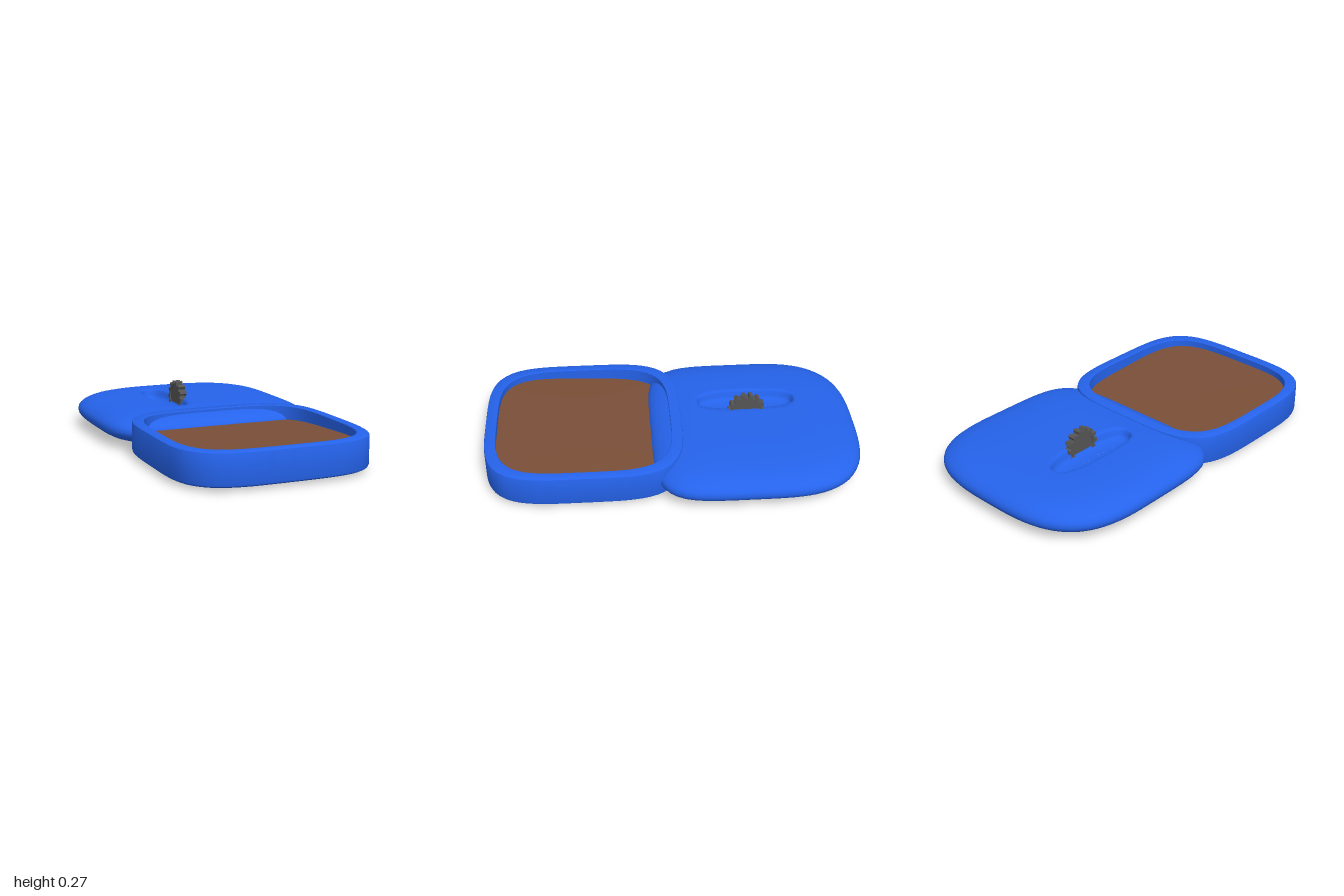
import * as THREE from 'three';
import { toCreasedNormals } from 'three/addons/utils/BufferGeometryUtils.js';

const SEG = 96;
const paint = color => new THREE.MeshStandardMaterial({ color });
const blue = paint(0x2563eb), brown = paint(0x7a4f38), dark = paint(0x555555);

// Rounded-square ring around (cx, cz): half sizes a, b, exponent n (front half may differ)
function ring(cx, cz, a, b, nBack, nFront = nBack) {
  return Array.from({ length: SEG }, (_, j) => {
    const t = (j / SEG) * Math.PI * 2, c = Math.cos(t), s = Math.sin(t);
    const n = s > 0 ? nFront : nBack;
    const k = (Math.abs(c) ** n + Math.abs(s) ** n) ** (-1 / n);
    return [cx + a * c * k, cz + b * s * k];
  });
}

// Skin over rings of [x, y, z] points
function loft(rings, crease = 0.6) {
  const index = [];
  for (let i = 0; i < rings.length - 1; i++) {
    for (let j = 0; j < SEG; j++) {
      const k = (j + 1) % SEG, a = i * SEG + j, b = i * SEG + k;
      index.push(a, a + SEG, b, b, a + SEG, b + SEG);
    }
  }
  const g = new THREE.BufferGeometry();
  g.setAttribute('position', new THREE.Float32BufferAttribute(rings.flat(2), 3));
  g.setIndex(index);
  return toCreasedNormals(g, crease);
}

function add(group, name, geometry, material) {
  const mesh = new THREE.Mesh(geometry, material);
  mesh.name = name;
  group.add(mesh);
  return mesh;
}

// Pillow-shaped body with a finger slot sunk into its top
function bodyGeometry() {
  const cz = -0.44, A = 0.587, B = 0.56;
  const rise = (x, z) => {
    const n = z > cz ? 5 : 3.1;
    const r = Math.min(1, (Math.abs(x / A) ** n + Math.abs((z - cz) / B) ** n) ** (1 / n));
    return 0.09 * Math.sqrt(Math.max(0, 1 - r ** 5));
  };
  const outline = r => ring(0, cz, A * r, B * r, 3.1, 5);
  const slot = k => ring(-0.145, -0.418, 0.09 - k, 0.273 - k, 2.7);
  const rings = [];
  const radii = [0, 0.3, 0.55, 0.7, 0.8, 0.87, 0.92, 0.955, 0.98, 0.993, 1];
  for (const r of radii) rings.push(outline(r).map(([x, z]) => [x, 0.1 - rise(x, z), z]));
  for (const r of radii.slice(4, -1).reverse()) {
    rings.push(outline(r).map(([x, z]) => [x, 0.1 + rise(x, z), z]));
  }
  // blend from the outer outline to the slot opening
  const from = outline(0.8), to = slot(0);
  for (const t of [0.25, 0.5, 0.75, 0.94, 1]) {
    rings.push(from.map(([x, z], j) => {
      const px = x + (to[j][0] - x) * t, pz = z + (to[j][1] - z) * t;
      return [px, 0.1 + rise(px, pz), pz];
    }));
  }
  // rounded slot lip, wall and floor
  for (const [k, d] of [[0.005, 0.003], [0.01, 0.01], [0.014, 0.03], [0.022, 0.045], [0.04, 0.053], [0.0899, 0.055]]) {
    rings.push(slot(k).map(([x, z]) => [x, 0.1 + rise(x, z) - d, z]));
  }
  return loft(rings, 0.9);
}

// Toothed wheel lying across x, with a recessed web
function gear() {
  const g = new THREE.Group(), teeth = 14, width = 0.04;
  g.name = 'thumbWheel';
  const pts = [];
  for (let i = 0; i < teeth; i++) {
    for (const [f, r] of [[-0.32, 0.083], [-0.2, 0.1], [0.2, 0.1], [0.32, 0.083]]) {
      const a = ((i + f) / teeth) * Math.PI * 2;
      pts.push(new THREE.Vector2(r * Math.cos(a), r * Math.sin(a)));
    }
  }
  const shape = new THREE.Shape(pts);
  shape.holes.push(new THREE.Path().absarc(0, 0, 0.07, 0, Math.PI * 2, true));
  const rim = new THREE.ExtrudeGeometry(shape, { depth: width, bevelEnabled: false, curveSegments: 24 });
  rim.translate(0, 0, -width / 2).rotateY(Math.PI / 2);
  add(g, 'toothedRim', rim, dark);
  add(g, 'wheelWeb', new THREE.CylinderGeometry(0.071, 0.071, 0.028, 48).rotateZ(Math.PI / 2), dark);
  g.position.set(-0.06, 0.18, -0.413);
  return g;
}

export function createModel() {
  const model = new THREE.Group();
  add(model, 'body', bodyGeometry(), blue);
  model.add(gear());

  // Tray: underside, outer wall, flat rim and inner wall
  const tx = -0.027, tz = 0.475;
  const profile = [
    [0, 0.005], [0.25, 0.005], [0.39, 0.006], [0.45, 0.01], [0.485, 0.016], [0.507, 0.023], [0.517, 0.03],
    [0.52, 0.04], [0.52, 0.18], [0.518, 0.186], [0.512, 0.19], [0.469, 0.19], [0.466, 0.187], [0.466, 0.07],
  ];
  add(model, 'tray', loft(profile.map(([r, y]) =>
    ring(tx, tz, r, r + (r > 0.47 ? 0.005 : 0), 4).map(([x, z]) => [x, y, z]))), blue);

  // Slightly domed panel rising towards the front of the tray
  add(model, 'trayPanel', loft([0.468, 0.4, 0.3, 0.2, 0.1, 0].map(r =>
    ring(tx, tz, r, r, 4).map(([x, z]) => [x, 0.11 + 0.045 * z + 0.008 * (1 - (r / 0.468) ** 2), z]))), brown);
  return model;
}
